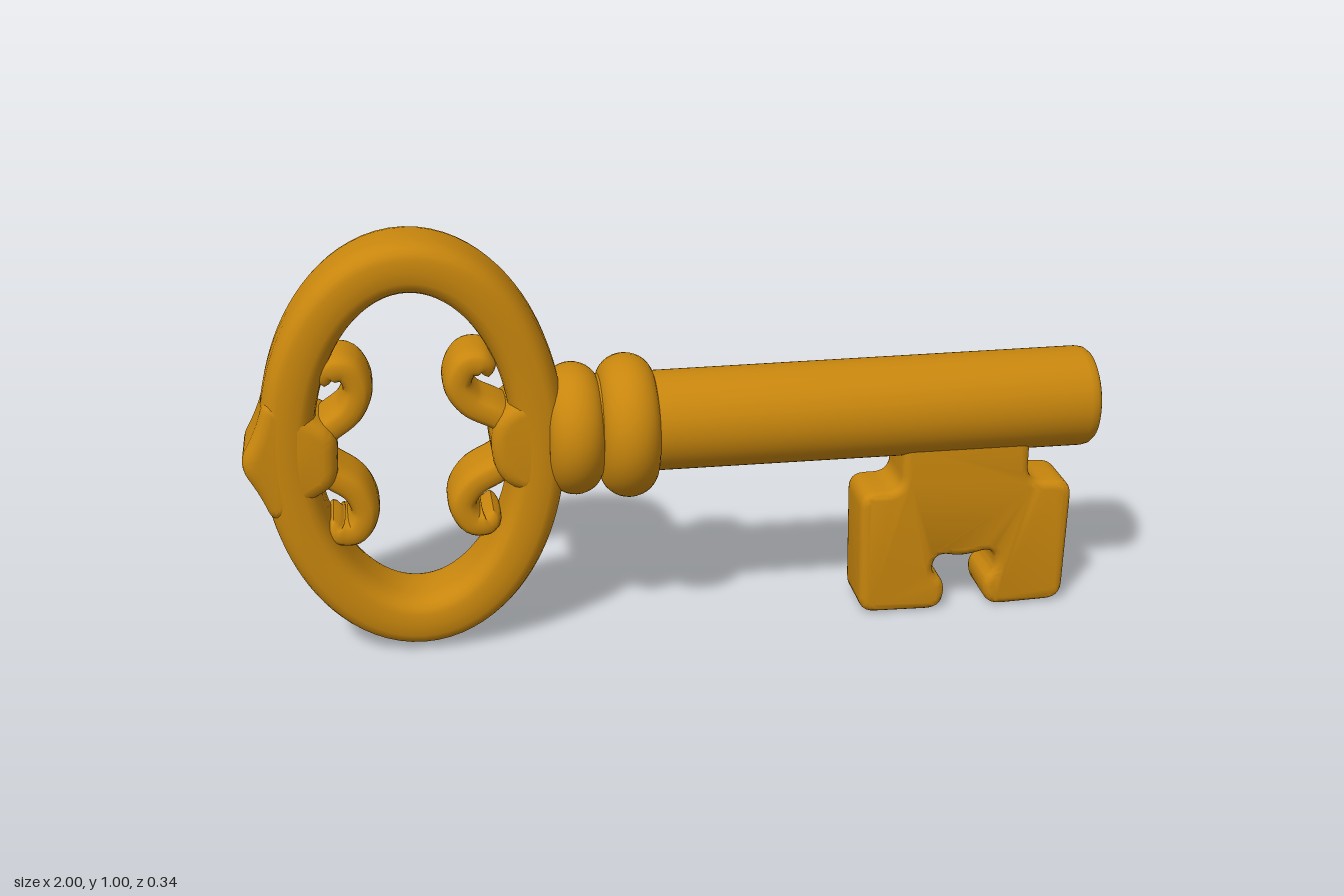
import * as THREE from 'three';
import { toCreasedNormals } from 'three/addons/utils/BufferGeometryUtils.js';

const V = (x, y) => new THREE.Vector3(x, y, 0);

// Sweep a soft-cornered section (w across, d deep) along a planar curve
function sweep(curve, w, d, closed, steps = 96, sides = 24) {
  const pos = [], index = [];
  const soft = (v) => Math.sign(v) * Math.pow(Math.abs(v), 0.65);
  const rows = closed ? steps : steps + 1;
  for (let i = 0; i < rows; i++) {
    const u = i / steps;
    const p = curve.getPointAt(u), t = curve.getTangentAt(u);
    const taper = closed ? 1 : Math.sqrt(Math.min(1, (1 - u) / 0.12));
    for (let j = 0; j < sides; j++) {
      const a = (j / sides) * Math.PI * 2;
      const r = w * taper * soft(Math.cos(a));
      const depth = d * (0.75 + 0.25 * taper);
      pos.push(p.x + t.y * r, p.y - t.x * r, depth * soft(Math.sin(a)));
    }
  }
  for (let i = 0; i < steps; i++) {
    for (let j = 0; j < sides; j++) {
      const k = (j + 1) % sides, n = (i + 1) % rows;
      const a = i * sides + j, b = n * sides + j, c = n * sides + k, e = i * sides + k;
      index.push(a, b, c, a, c, e);
    }
  }
  const g = new THREE.BufferGeometry();
  g.setAttribute('position', new THREE.Float32BufferAttribute(pos, 3));
  g.setIndex(index);
  g.computeVertexNormals();
  return g;
}

// Extrude a polygon with rounded corners and softened edges, centred in z
function plate(points, corner, half, bevel) {
  const pts = points.map(([x, y]) => new THREE.Vector2(x, y));
  const shape = new THREE.Shape();
  pts.forEach((p, i) => {
    const prev = pts[(i + pts.length - 1) % pts.length], next = pts[(i + 1) % pts.length];
    const toward = (q) => p.clone().lerp(q, Math.min(0.48, corner / p.distanceTo(q)));
    const a = toward(prev), b = toward(next);
    if (i === 0) shape.moveTo(a.x, a.y); else shape.lineTo(a.x, a.y);
    shape.quadraticCurveTo(p.x, p.y, b.x, b.y);
  });
  shape.closePath();
  const g = new THREE.ExtrudeGeometry(shape, {
    depth: 2 * (half - bevel), bevelEnabled: true, bevelThickness: bevel,
    bevelSize: bevel, bevelOffset: -bevel, bevelSegments: 4, curveSegments: 6,
  });
  g.translate(0, 0, -(half - bevel));
  return toCreasedNormals(g, 0.7);
}

// Turn a profile of [x, radius] about the key's long axis
function turned(profile, y) {
  const g = new THREE.LatheGeometry(profile.map(([x, r]) => new THREE.Vector2(r, x)), 48);
  g.rotateZ(-Math.PI / 2);
  g.translate(0, y, 0);
  return toCreasedNormals(g, 0.7);
}

export function createModel() {
  const group = new THREE.Group();
  const gold = new THREE.MeshStandardMaterial({ color: 0xc8860d });
  gold.name = 'antiqueGold';
  const add = (name, geometry) => {
    const mesh = new THREE.Mesh(geometry, gold);
    mesh.name = name;
    group.add(mesh);
  };
  const midY = 0.507;

  // Oval handle
  const oval = [];
  for (let i = 0; i < 32; i++) {
    const a = (i / 32) * Math.PI * 2;
    oval.push(V(-0.615 + 0.285 * Math.cos(a), midY + 0.432 * Math.sin(a)));
  }
  add('bowRing', sweep(new THREE.CatmullRomCurve3(oval, true), 0.063, 0.1, true));

  // Swellings on both sides of the handle, the outer one with a blunt tip
  add('bowTip', plate([
    [-1.01, 0.5], [-0.965, 0.42], [-0.94, 0.35], [-0.86, 0.4], [-0.79, 0.44],
    [-0.785, 0.57], [-0.86, 0.61], [-0.94, 0.66], [-0.965, 0.58],
  ], 0.04, 0.098, 0.03));
  add('bowNeck', plate([
    [-0.29, 0.38], [-0.29, 0.63], [-0.37, 0.62], [-0.43, 0.58], [-0.445, 0.51], [-0.43, 0.43], [-0.37, 0.39],
  ], 0.04, 0.098, 0.03));

  // Four curled scrolls, mirrored up and down
  const scrolls = {
    Inner: [[-0.37, 0.54], [-0.43, 0.575], [-0.485, 0.607], [-0.511, 0.655], [-0.487, 0.702], [-0.449, 0.699], [-0.441, 0.672]],
    Outer: [[-0.86, 0.53], [-0.8, 0.568], [-0.753, 0.606], [-0.734, 0.66], [-0.76, 0.706], [-0.801, 0.7], [-0.807, 0.67]],
  };
  for (const [side, path] of Object.entries(scrolls)) {
    for (const s of [1, -1]) {
      const curve = new THREE.CatmullRomCurve3(path.map(([x, y]) => V(x, midY + s * (y - midY))));
      add(`scroll${side}${s > 0 ? 'Upper' : 'Lower'}`, sweep(curve, 0.034, 0.08, false, 48));
    }
  }

  // Two rounded collars
  for (const [name, x, half, radius] of [['collarSmall', -0.247, 0.064, 0.155], ['collarLarge', -0.122, 0.066, 0.169]]) {
    const profile = [[x - half, 0]];
    for (let i = 0; i <= 16; i++) {
      const a = (i / 16) * Math.PI;
      profile.push([x - half * Math.cos(a), radius - 0.06 + 0.06 * Math.sin(a)]);
    }
    profile.push([x + half, 0]);
    add(name, turned(profile, 0.512));
  }

  // Shaft with a softened end
  add('shaft', turned([
    [-0.2, 0], [-0.2, 0.117], [0.97, 0.12], [0.985, 0.117], [0.995, 0.109], [1, 0.097], [1, 0],
  ], 0.519));

  // Toothed bit
  add('bit', plate([
    [0.53, 0.46], [0.53, 0.325], [0.43, 0.325], [0.435, 0.01], [0.64, 0.005], [0.65, 0.075],
    [0.61, 0.105], [0.625, 0.155], [0.69, 0.14], [0.765, 0.16], [0.775, 0.105],
    [0.74, 0.07], [0.755, 0.005], [0.945, 0.01], [0.952, 0.325], [0.84, 0.33], [0.84, 0.46],
  ], 0.04, 0.077, 0.02));

  return group;
}
